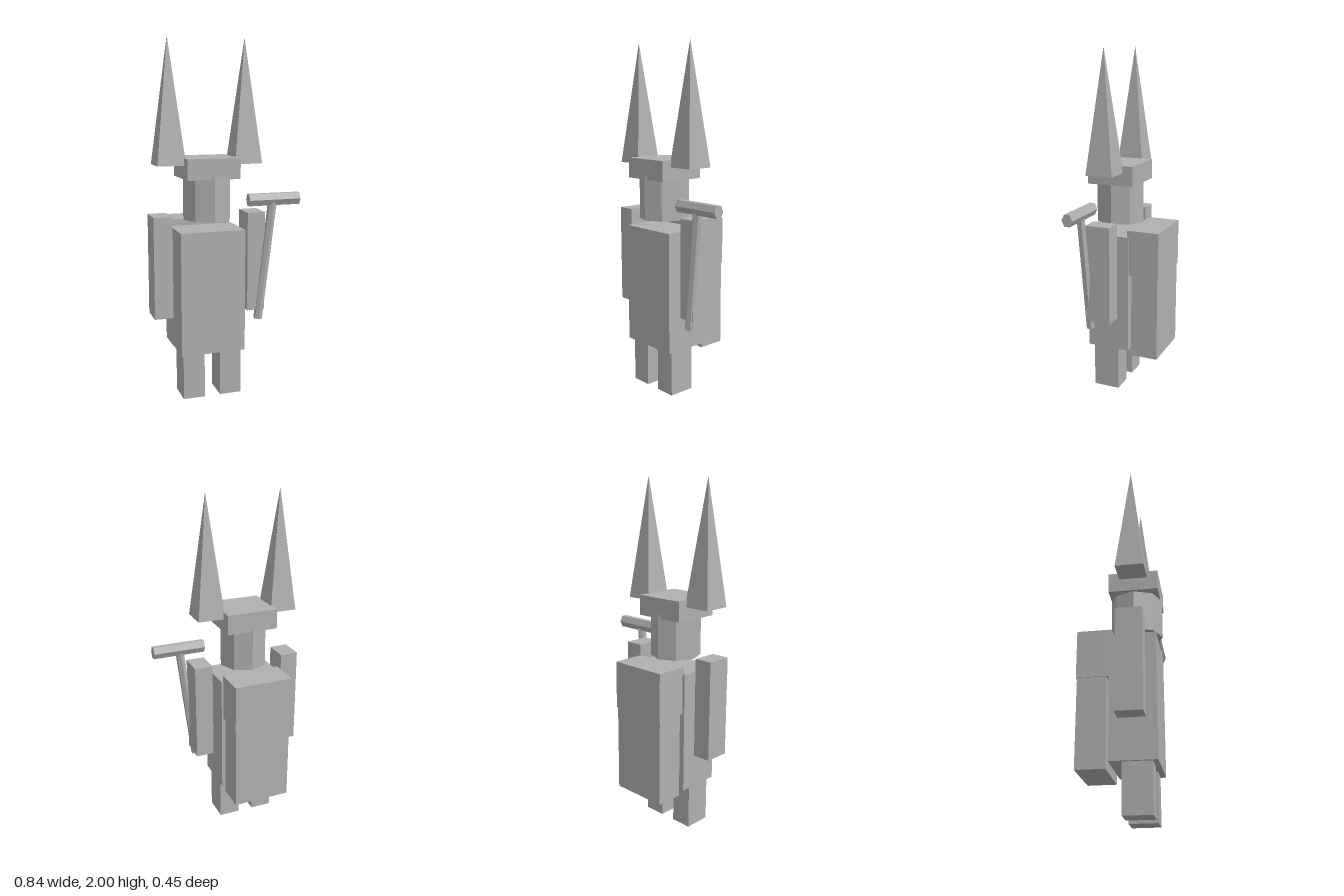
import * as THREE from 'three';

export function createModel() {
  const model = new THREE.Group();
  model.name = 'hornedMiner';
  const stone = new THREE.MeshStandardMaterial({ color: 0xb0b0b0, flatShading: true });
  stone.name = 'stoneGrey';

  function add(name, geometry) {
    const mesh = new THREE.Mesh(geometry, stone);
    mesh.name = name;
    model.add(mesh);
    return mesh;
  }

  // Box given by its lower and upper bounds on each axis
  function box(name, [x0, x1], [y0, y1], [z0, z1]) {
    add(name, new THREE.BoxGeometry(x1 - x0, y1 - y0, z1 - z0))
      .position.set((x0 + x1) / 2, (y0 + y1) / 2, (z0 + z1) / 2);
  }

  // The body is mirrored about this plane; the tool reaches out to the left
  const cx = -0.1;

  box('torso', [-0.285, 0.083], [0.264, 0.957], [-0.047, 0.204]);

  for (const [side, s] of [['left', 1], ['right', -1]]) {
    const span = (a, b) => [cx + s * a, cx + s * b].sort((p, q) => p - q);
    box(side + 'Leg', span(0.046, 0.169), [0, 0.264], [0.02, 0.175]);
    box(side + 'Arm', span(0.217, 0.322), [0.475, 1.042], [0.005, 0.15]);

    // Four-sided horn with a solid base
    const horn = new THREE.ConeGeometry(0.158 / Math.SQRT2, 0.683, 4);
    horn.rotateY(Math.PI / 4);
    add(side + 'Horn', horn).position.set(cx + s * 0.218, 1.317 + 0.3415, 0.078);
  }

  // Backpack: wide top section over the bag
  box('backpackTop', [-0.271, 0.071], [0.725, 0.995], [-0.226, -0.037]);
  box('backpackBag', [-0.267, 0.067], [0.232, 0.725], [-0.221, -0.062]);

  // Octagonal head, slightly narrow in x, under a flat cap
  const head = add('head', new THREE.CylinderGeometry(0.145, 0.145, 0.248, 8));
  head.scale.x = 0.945;
  head.position.set(cx, 1.135, 0.078);
  box('cap', [-0.25, 0.049], [1.242, 1.356], [-0.061, 0.216]);

  // Tool: horizontal hexagonal bar on a slanted handle
  const bar = new THREE.CylinderGeometry(0.032, 0.032, 0.304, 6);
  bar.rotateZ(Math.PI / 2);
  bar.scale(1, 1.2, 1);
  add('toolBar', bar).position.set(0.268, 1.115, 0.157);

  const top = new THREE.Vector3(0.261, 1.1, 0.158);
  const bottom = new THREE.Vector3(0.184, 0.422, 0.145);
  const axis = top.clone().sub(bottom);
  const handle = add('toolHandle', new THREE.CylinderGeometry(0.025, 0.025, axis.length(), 6));
  handle.position.copy(top).add(bottom).multiplyScalar(0.5);
  handle.quaternion.setFromUnitVectors(new THREE.Vector3(0, 1, 0), axis.normalize());

  return model;
}
